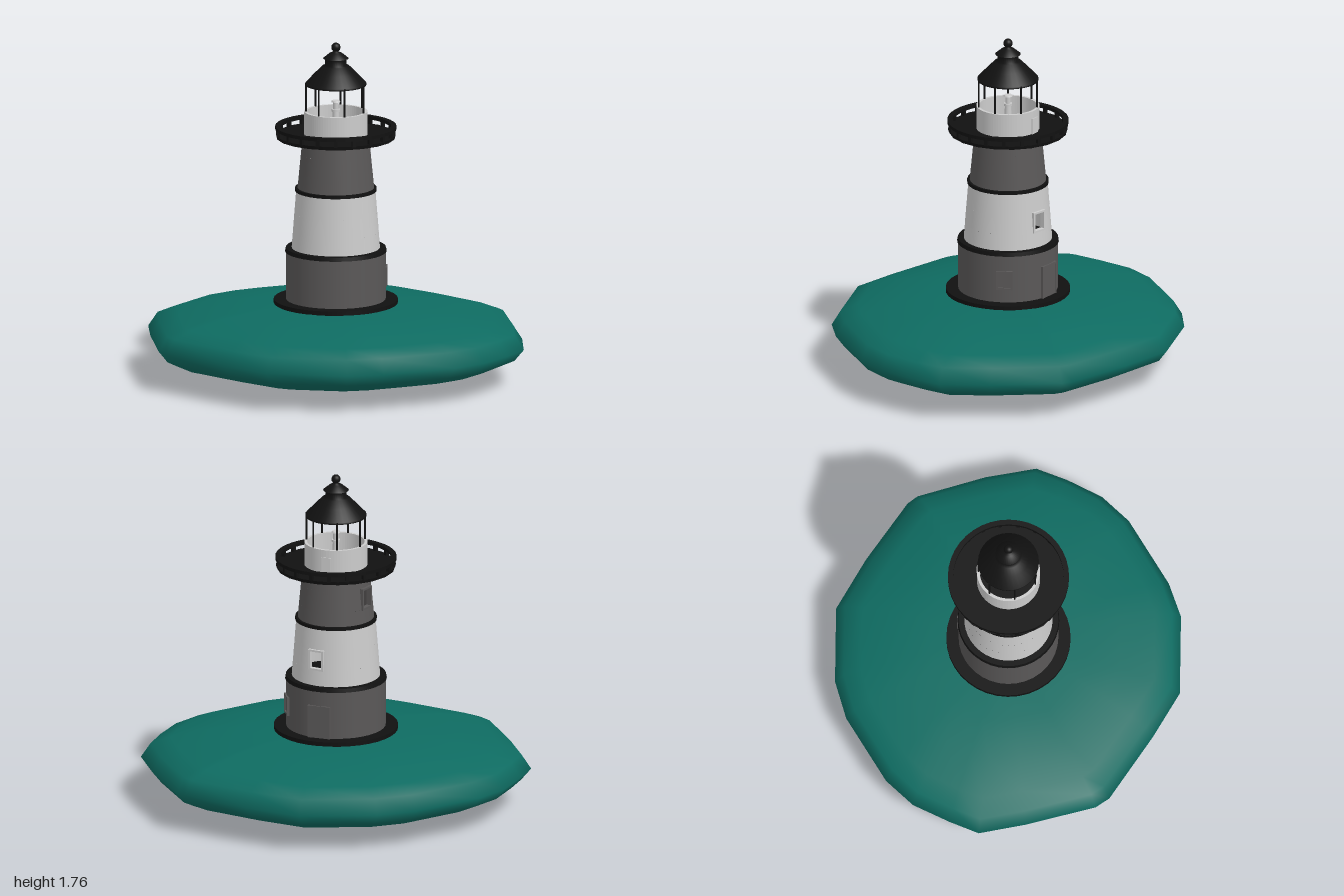
import * as THREE from 'three';

const mat = (color, side = THREE.FrontSide) => new THREE.MeshStandardMaterial({ color, side });
const black = mat(0x111111, THREE.DoubleSide);
const dark = mat(0x5a5858, THREE.DoubleSide);
const pale = mat(0xcccccc, THREE.DoubleSide);
const teal = mat(0x0e6b61);
const rad = THREE.MathUtils.degToRad;

export function createModel() {
  const model = new THREE.Group();

  const add = (name, geometry, material, parent = model) => {
    const mesh = new THREE.Mesh(geometry, material);
    mesh.name = name;
    parent.add(mesh);
    return mesh;
  };
  const group = (name) => {
    const g = new THREE.Group();
    g.name = name;
    model.add(g);
    return g;
  };
  // Upright cylinder between two heights
  const drum = (name, r0, r1, y0, y1, material, parent, sides = 36) => {
    const m = add(name, new THREE.CylinderGeometry(r1, r0, y1 - y0, sides), material, parent);
    m.position.y = (y0 + y1) / 2;
    return m;
  };
  // Hollow band of square section, sharp edged
  const hoop = (name, inner, outer, y0, y1, material, parent, sides = 36) => {
    const shape = new THREE.Shape().absarc(0, 0, outer, 0, Math.PI * 2);
    shape.holes.push(new THREE.Path().absarc(0, 0, inner, 0, Math.PI * 2, true));
    const geo = new THREE.ExtrudeGeometry(shape, { depth: y1 - y0, bevelEnabled: false, curveSegments: sides });
    geo.rotateX(-Math.PI / 2).translate(0, y0, 0);
    return add(name, geo, material, parent);
  };
  // Box fixed to the tower wall at an angle (0 = front, 90 = model's left)
  const onWall = (name, deg, r, y, w, h, d, material, parent, shift = 0) => {
    const geo = new THREE.BoxGeometry(w, h, d).translate(shift, y, r).rotateY(rad(deg));
    return add(name, geo, material, parent);
  };
  const frame = (name, deg, r, y, w, h, material) => {
    const g = group(name);
    for (const s of [-1, 1]) {
      onWall('frameSide', deg, r, y, 0.01, h, 0.025, material, g, s * w / 2);
      onWall('frameRail', deg, r, y + s * h / 2, w + 0.01, 0.01, 0.025, material, g);
    }
  };
  // Tapered wall with one real window opening
  const wall = (name, r0, r1, y0, y1, deg, width, w0, w1, material) => {
    const g = group(name);
    const at = (y) => r0 + (r1 - r0) * (y - y0) / (y1 - y0);
    const half = Math.asin(width / 2 / at(w0));
    [[y0, w0, 0], [w0, w1, half], [w1, y1, 0]].forEach(([a, b, gap]) => {
      const geo = new THREE.CylinderGeometry(at(b), at(a), b - a, 40, 1, true,
        rad(deg) + gap, Math.PI * 2 - gap * 2);
      add('wallCourse', geo.translate(0, (a + b) / 2, 0), material, g);
    });
    const mid = (w0 + w1) / 2;
    frame(name + 'WindowFrame', deg, at(mid) - 0.005, mid, width, w1 - w0, material);
  };

  // Island: faceted outline swept through lens-shaped rings
  const outline = [[1, 0.13], [0.94, 0.29], [0.85, 0.47], [0.72, 0.61], [0.38, 0.82], [0.2, 0.885],
    [-0.22, 0.885], [-0.46, 0.75], [-0.8, 0.53], [-0.85, 0.46], [-0.95, 0.1], [-1, -0.14],
    [-0.94, -0.29], [-0.85, -0.48], [-0.72, -0.62], [-0.38, -0.83], [-0.18, -0.89], [0.22, -0.89],
    [0.49, -0.74], [0.8, -0.53], [0.84, -0.48], [0.95, -0.13]];
  const rings = [[0.22, 0.4], [0.45, 0.388], [0.65, 0.365], [0.85, 0.318], [0.95, 0.28], [1, 0.205],
    [0.95, 0.145], [0.85, 0.1], [0.65, 0.055], [0.4, 0.02]];
  const n = outline.length;
  const pos = [0, 0.403, 0];
  const idx = [];
  for (const [s, y] of rings) for (const [x, z] of outline) pos.push(x * s, y, z * s);
  pos.push(0, 0, 0);
  const last = pos.length / 3 - 1;
  for (let i = 0; i < n; i++) {
    const j = (i + 1) % n;
    idx.push(0, 1 + j, 1 + i);
    for (let r = 0; r < rings.length - 1; r++) {
      const a = 1 + r * n, b = a + n;
      idx.push(a + i, a + j, b + i, a + j, b + j, b + i);
    }
    idx.push(last, last - n + i, last - n + j);
  }
  const land = new THREE.BufferGeometry();
  land.setAttribute('position', new THREE.Float32BufferAttribute(pos, 3));
  land.setIndex(idx);
  land.computeVertexNormals();
  add('island', land, teal);

  // Tower
  drum('foundation', 0.32, 0.32, 0.385, 0.415, black);
  drum('lowerStorey', 0.257, 0.257, 0.4, 0.67, dark);
  drum('lowerBand', 0.262, 0.258, 0.665, 0.685, black);
  wall('middleStorey', 0.228, 0.204, 0.68, 0.99, 150, 0.075, 0.77, 0.87, pale);
  drum('middleBand', 0.21, 0.21, 0.983, 1, black);
  wall('upperStorey', 0.197, 0.173, 1, 1.25, 235, 0.075, 1.075, 1.18, dark);
  drum('collar', 0.19, 0.205, 1.24, 1.265, black);

  // Door and window of the lower storey
  onWall('door', 158, 0.25, 0.495, 0.1, 0.165, 0.02, dark);
  frame('doorFrame', 158, 0.25, 0.495, 0.11, 0.175, dark);
  onWall('lowerWindow', 99, 0.247, 0.535, 0.07, 0.085, 0.02, dark);
  frame('lowerWindowFrame', 99, 0.252, 0.535, 0.075, 0.09, dark);

  // Gallery
  const gallery = group('gallery');
  drum('galleryFloor', 0.305, 0.31, 1.262, 1.28, black, gallery, 20);
  hoop('galleryRail', 0.285, 0.312, 1.307, 1.325, black, gallery, 20);
  for (let i = 0; i < 20; i++) onWall('railPost', i * 18 + 9, 0.298, 1.293, 0.018, 0.035, 0.018, black, gallery);

  // Lantern room
  const lantern = group('lantern');
  hoop('parapet', 0.148, 0.163, 1.28, 1.402, pale, lantern);
  onWall('galleryDoor', 160, 0.16, 1.32, 0.05, 0.085, 0.015, pale, lantern);
  for (let i = 0; i < 7; i++) {
    const a = Math.PI + i * Math.PI * 2 / 7;
    const post = drum('lanternPost', 0.005, 0.005, 1.4, 1.55, black, lantern, 8);
    post.position.x = Math.sin(a) * 0.154;
    post.position.z = Math.cos(a) * 0.154;
  }

  // Lamp on its pedestal
  const lamp = group('lamp');
  drum('lampPedestal', 0.022, 0.016, 1.28, 1.4, pale, lamp, 12);
  drum('lampBase', 0.022, 0.022, 1.4, 1.412, pale, lamp, 12);
  drum('lampGlass', 0.014, 0.014, 1.412, 1.45, pale, lamp, 12);
  drum('lampCap', 0.024, 0.02, 1.45, 1.458, pale, lamp, 12);

  // Roof, vent and finial
  const roof = [[0, 1.545], [0.157, 1.54], [0.157, 1.55], [0.105, 1.605], [0.07, 1.64], [0.055, 1.645],
    [0.055, 1.678], [0.066, 1.68], [0.032, 1.708], [0.014, 1.715], [0.012, 1.725], [0, 1.725]];
  add('roof', new THREE.LatheGeometry(roof.map(([x, y]) => new THREE.Vector2(x, y)), 32), black);
  add('finial', new THREE.SphereGeometry(0.024, 16, 12), black).position.y = 1.738;

  return model;
}
